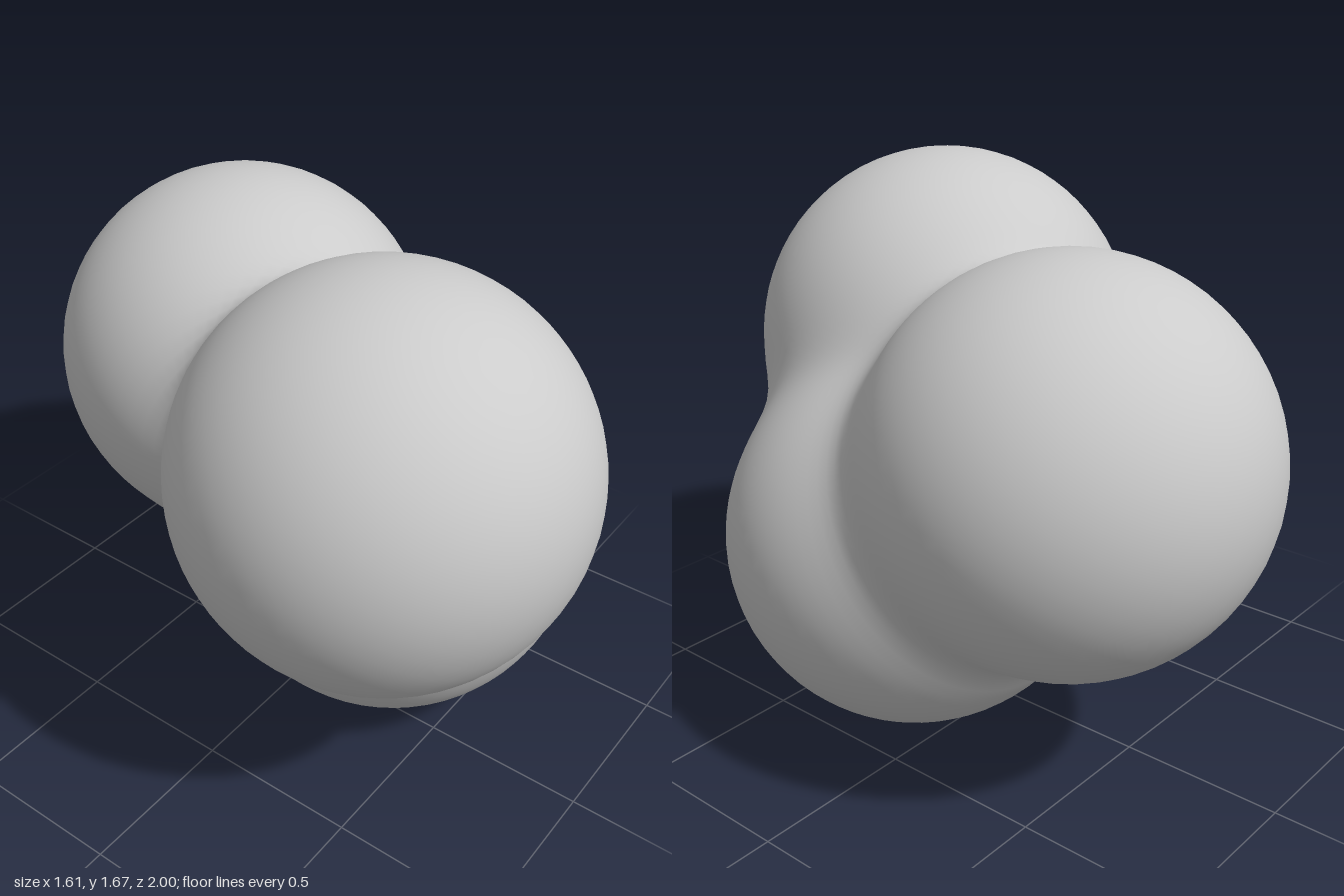
import * as THREE from 'three';

// Three overlapping lobes: centre and radius
const lobes = [
  { c: new THREE.Vector3(-0.215, 1.085, 0.41), r: 0.587 }, // front upper
  { c: new THREE.Vector3(0.225, 0.98, -0.42), r: 0.58 },   // back
  { c: new THREE.Vector3(0.18, 0.58, 0.19), r: 0.58 },     // bottom
];
const BLEND = 0.06;

// Smooth union of the lobes; optionally writes the surface normal
function field(p, normal) {
  let sum = 0;
  if (normal) normal.set(0, 0, 0);
  for (const { c, r } of lobes) {
    const d = p.distanceTo(c);
    const w = Math.exp((r - d) / BLEND);
    sum += w;
    if (normal) normal.addScaledVector(p.clone().sub(c), w / d);
  }
  if (normal) normal.normalize();
  return -BLEND * Math.log(sum);
}

export function createModel() {
  const group = new THREE.Group();
  group.name = 'blendedBlob';

  // The core lies inside every lobe, so each ray from it meets the skin once
  const core = new THREE.Vector3(0.06, 0.88, 0.06);
  const geometry = new THREE.IcosahedronGeometry(1, 18);
  const pos = geometry.attributes.position;
  const nor = geometry.attributes.normal;
  const dir = new THREE.Vector3(), p = new THREE.Vector3(), n = new THREE.Vector3();

  for (let i = 0; i < pos.count; i++) {
    dir.fromBufferAttribute(pos, i).normalize();
    let near = 0, far = 2;
    for (let k = 0; k < 24; k++) {
      const mid = (near + far) / 2;
      p.copy(core).addScaledVector(dir, mid);
      if (field(p) < 0) near = mid; else far = mid;
    }
    field(p, n);
    pos.setXYZ(i, p.x, p.y, p.z);
    nor.setXYZ(i, n.x, n.y, n.z);
  }

  const skin = new THREE.Mesh(geometry, new THREE.MeshStandardMaterial({ color: 0xcccccc }));
  skin.name = 'lobedBody';
  group.add(skin);
  return group;
}
